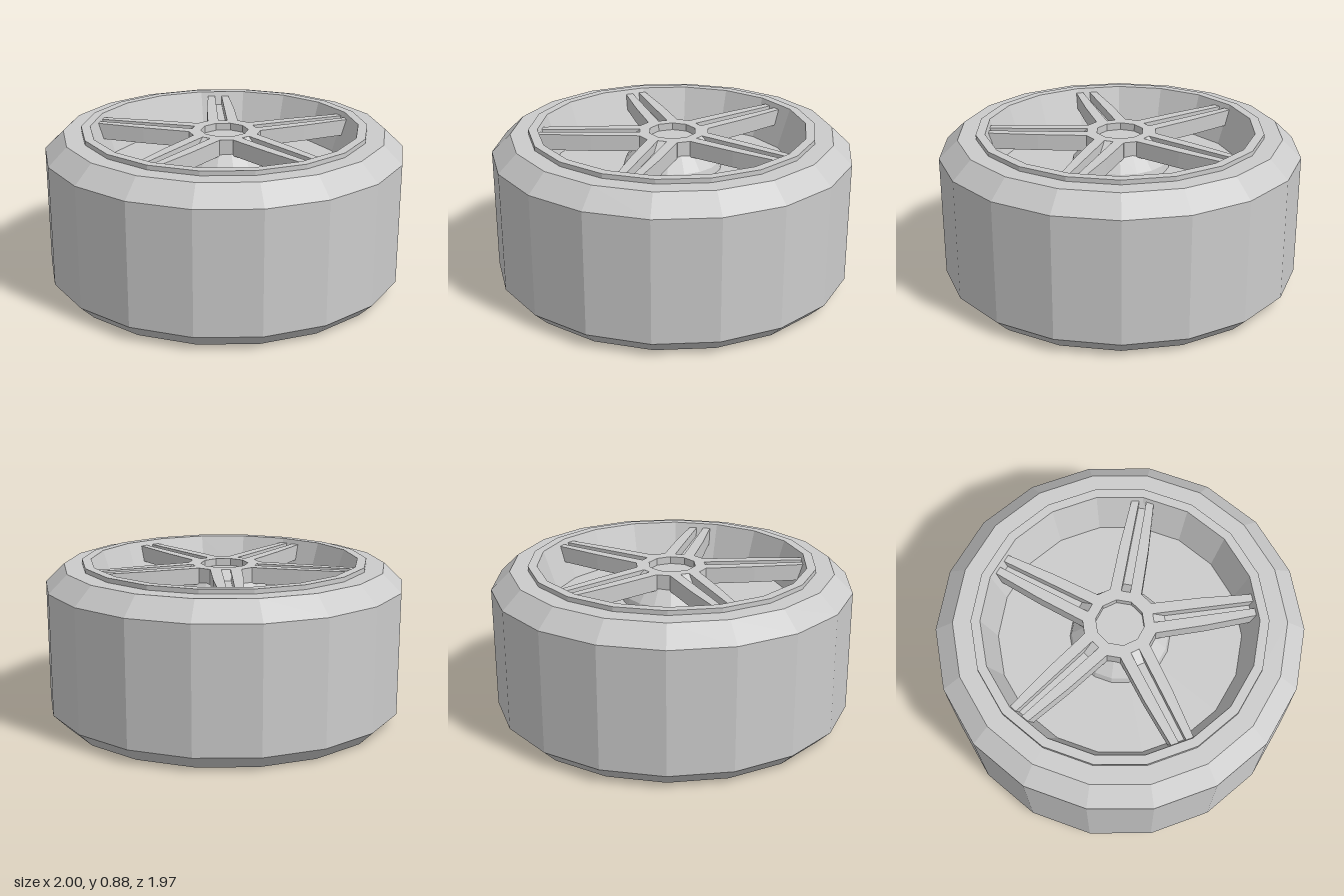
import * as THREE from 'three';

const TOP = 0.86;          // top of spokes and hub
const SPOKES = 5;

const material = new THREE.MeshStandardMaterial({ color: 0xcccccc, flatShading: true });

function part(name, geometry) {
  const mesh = new THREE.Mesh(geometry, material);
  mesh.name = name;
  return mesh;
}

// Revolved profile with 18 sides and a corner on +x
function turned(name, points, sides = 18) {
  const profile = points.map(([r, y]) => new THREE.Vector2(r, y));
  return part(name, new THREE.LatheGeometry(profile, sides, Math.PI / 2));
}

function outline(points) {
  return new THREE.Shape(points.map(([x, y]) => new THREE.Vector2(x, y)));
}

// Plan outline extruded upwards between two heights
function slab(shape, bottom, top) {
  const geometry = new THREE.ExtrudeGeometry(shape, { depth: top - bottom, bevelEnabled: false });
  return geometry.rotateX(-Math.PI / 2).translate(0, bottom, 0);
}

// One spoke along +x: two tapered bars with a ramped channel between them
function makeSpoke() {
  const spoke = new THREE.Group();
  spoke.name = 'spoke';
  for (const side of [1, -1]) {
    const bar = outline([[0.17, 0.025], [0.738, 0.02], [0.735, 0.062], [0.45, 0.08], [0.17, 0.086]]
      .map(([x, y]) => [x, y * side]));
    spoke.add(part('spokeBar', slab(bar, 0.77, TOP)));
  }
  const channel = outline([[0.17, 0.77], [0.735, 0.77], [0.735, TOP - 0.005], [0.715, 0.81],
    [0.245, 0.81], [0.18, TOP], [0.17, TOP]]);
  const web = new THREE.ExtrudeGeometry(channel, { depth: 0.05, bevelEnabled: false });
  spoke.add(part('spokeChannel', web.translate(0, 0, -0.025)));
  return spoke;
}

// Hub plate whose corners meet the spoke sides, with a ten-sided centre hole
function makeHubPlate() {
  const corners = [];
  for (let i = 0; i < SPOKES; i++) {
    for (const spread of [-0.445, 0.445]) {
      const a = i * 2 * Math.PI / SPOKES + spread;
      corners.push([0.2 * Math.cos(a), 0.2 * Math.sin(a)]);
    }
  }
  const plate = outline(corners);
  const hole = [];
  for (let i = 0; i < 10; i++) {
    const a = Math.PI / 2 + i * Math.PI / 5;
    hole.push(new THREE.Vector2(0.132 * Math.cos(a), 0.132 * Math.sin(a)));
  }
  plate.holes.push(new THREE.Path(hole));
  return part('hubPlate', slab(plate, 0.77, TOP));
}

export function createModel() {
  const wheel = new THREE.Group();
  wheel.name = 'wheel';

  // Tyre with chamfered shoulders
  wheel.add(turned('tyre', [[0.73, 0], [0.92, 0], [1, 0.08], [1, 0.76], [0.895, TOP], [0.79, TOP]]));

  // Rim lip, sloped dish and floor
  wheel.add(turned('rim', [[0.795, TOP - 0.01], [0.795, 0.885], [0.745, 0.885], [0.67, 0.66], [0, 0.66]]));

  // Recess underneath
  wheel.add(turned('backRecess', [[0, 0.16], [0.65, 0.16], [0.73, 0]]));

  // Hub
  wheel.add(turned('hubBase', [[0.275, 0.66], [0.265, 0.7], [0.19, 0.79], [0, 0.79]]));
  wheel.add(makeHubPlate());
  const cap = new THREE.CylinderGeometry(0.135, 0.135, 0.05, 10).translate(0, 0.795, 0);
  wheel.add(part('hubCap', cap));

  // Spokes
  for (let i = 0; i < SPOKES; i++) {
    const spoke = makeSpoke();
    spoke.rotation.y = i * 2 * Math.PI / SPOKES;
    wheel.add(spoke);
  }
  return wheel;
}
